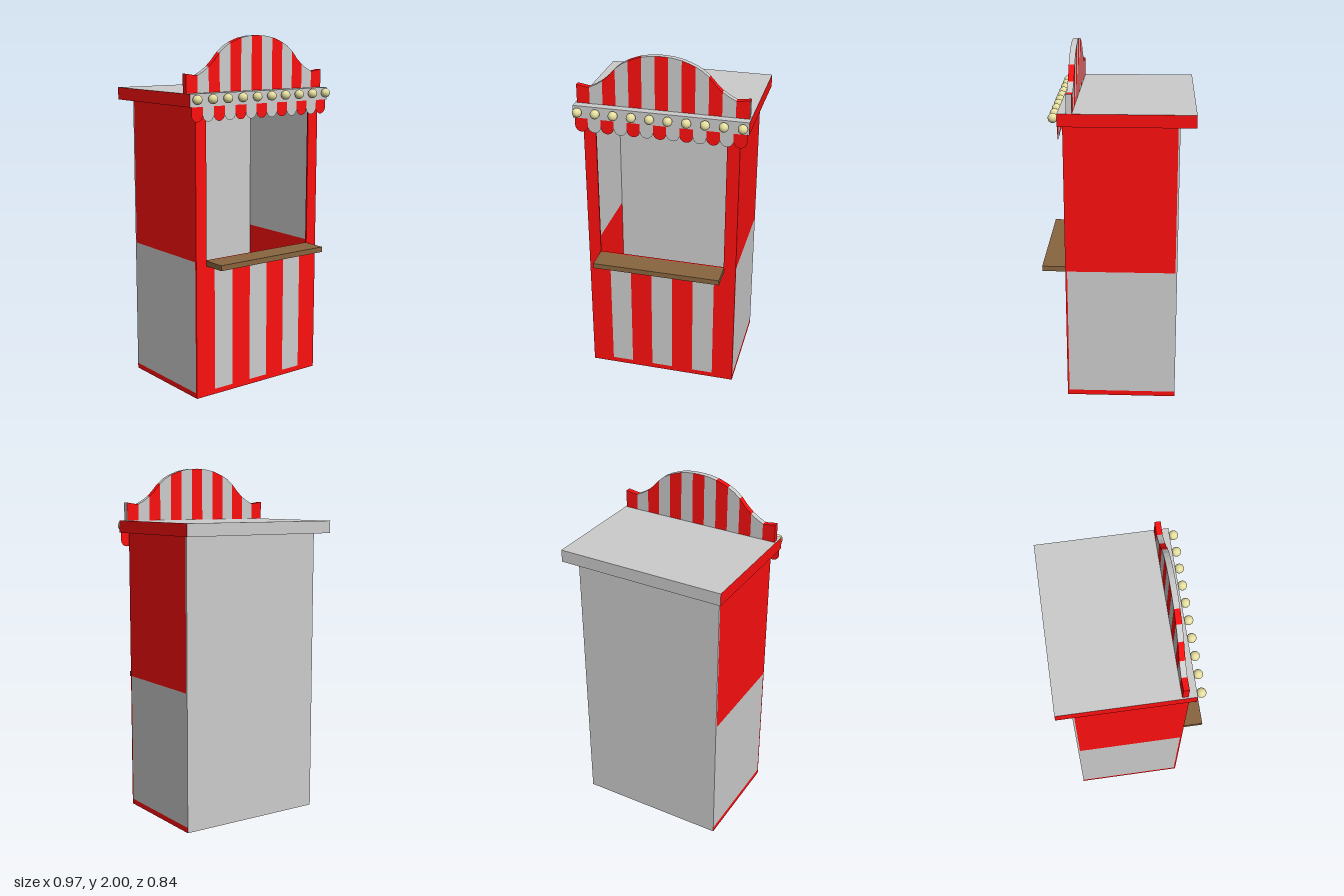
import * as THREE from 'three';

export function createModel() {
  const group = new THREE.Group();
  const mat = (color, side = THREE.FrontSide) => new THREE.MeshStandardMaterial({ color, side });
  const grey = mat(0xcccccc), red = mat(0xfc0f0f), wood = mat(0x88653f), glow = mat(0xe6dfa0);
  const redCloth = mat(0xfc0f0f, THREE.DoubleSide), greyCloth = mat(0xcccccc, THREE.DoubleSide);

  const add = (name, geometry, material, x = 0, y = 0, z = 0) => {
    const mesh = new THREE.Mesh(geometry, material);
    mesh.name = name;
    mesh.position.set(x, y, z);
    group.add(mesh);
    return mesh;
  };
  // Box from its limits; material may list the faces +x -x +y -y +z -z
  const box = (name, [x0, x1], [y0, y1], [z0, z1], material) =>
    add(name, new THREE.BoxGeometry(x1 - x0, y1 - y0, z1 - z0), material,
      (x0 + x1) / 2, (y0 + y1) / 2, (z0 + z1) / 2);

  const W = 0.435, BACK = -0.337, FRONT = 0.285, T = 0.01;
  const BASE = 0.03, SILL = 0.785, EAVES = 1.63, ROOF = 1.7;

  // Base slab and back wall
  box('base', [-W, W], [0, BASE], [BACK, FRONT], [red, red, red, red, red, grey]);
  box('lowerBackWall', [-W, W], [BASE, SILL], [BACK, BACK + T], grey);
  box('upperBackWall', [-W, W], [SILL, EAVES], [BACK, BACK + T], grey);

  // Side walls and front posts
  for (const s of [-1, 1]) {
    const span = (a, b) => (s > 0 ? [a, b] : [-b, -a]);
    const faces = (outer, inner) =>
      [s > 0 ? outer : inner, s > 0 ? inner : outer, outer, outer, outer, outer];
    box('lowerSideWall', span(W - T, W), [BASE, SILL], [BACK + T, FRONT - T], faces(grey, red));
    box('upperSideWall', span(W - T, W), [SILL, EAVES], [BACK + T, FRONT - T], faces(red, grey));
    box('frontPost', span(0.365, W), [SILL, EAVES], [FRONT - T, FRONT], red);
  }

  // Striped front panel
  const stripe = 2 * W / 7;
  for (let i = 0; i < 7; i++) {
    const x = -W + i * stripe;
    const face = i % 2 ? grey : red;
    box('frontStripe', [x, x + stripe], [BASE, SILL], [FRONT - T, FRONT],
      [red, red, red, red, face, red]);
  }

  // Serving counter and roof
  box('counter', [-0.367, 0.367], [0.755, SILL], [FRONT, 0.422], wood);
  box('roof', [-0.484, 0.484], [EAVES, ROOF], [-0.422, 0.308], [red, red, grey, grey, grey, grey]);

  // Outline height of the crest at a distance from its centre
  const crest = [[0, 2], [0.06, 1.997], [0.12, 1.985], [0.18, 1.962], [0.22, 1.94], [0.26, 1.907],
    [0.295, 1.866], [0.33, 1.835], [0.365, 1.812], [0.405, 1.792], [0.475, 1.803]];
  const crestHeight = (x) => {
    const d = Math.min(Math.abs(x), 0.475);
    const k = Math.max(1, crest.findIndex((p) => p[0] >= d - 1e-6));
    const [a, b] = [crest[k - 1], crest[k]];
    return a[1] + (b[1] - a[1]) * (d - a[0]) / (b[0] - a[0]);
  };

  // Crest stripes and the scalloped valance beneath them
  const N = 13, half = 0.475, w = 2 * half / N, r = w / 2;
  for (let i = 0; i < N; i++) {
    const x0 = -half + i * w;
    const shape = new THREE.Shape().moveTo(x0, ROOF).lineTo(x0 + w, ROOF);
    for (let k = 4; k >= 0; k--) shape.lineTo(x0 + w * k / 4, crestHeight(x0 + w * k / 4));
    const face = i % 2 ? grey : red;
    const rim = i === 6 || i === 8 ? grey : face;
    add('crestStripe', new THREE.ExtrudeGeometry(shape, { depth: 0.032, bevelEnabled: false }),
      [face, rim], 0, 0, 0.229);

    const flap = new THREE.Shape().moveTo(-r, EAVES).lineTo(-r, 1.55 + r);
    flap.absarc(0, 1.55 + r, r, Math.PI, 2 * Math.PI, false);
    flap.lineTo(r, EAVES);
    add('valanceFlap', new THREE.ShapeGeometry(flap, 8), i % 2 ? greyCloth : redCloth,
      x0 + r, 0, 0.307);
  }
  box('crestEndCap', [half, half + 0.002], [ROOF, 1.802], [0.229, 0.261], grey);

  // Row of light bulbs
  const bulb = new THREE.SphereGeometry(0.026, 20, 14);
  for (let i = 0; i < 10; i++) add('bulb', bulb, glow, -0.453 + i * 0.1007, 1.67, 0.332);

  return group;
}
